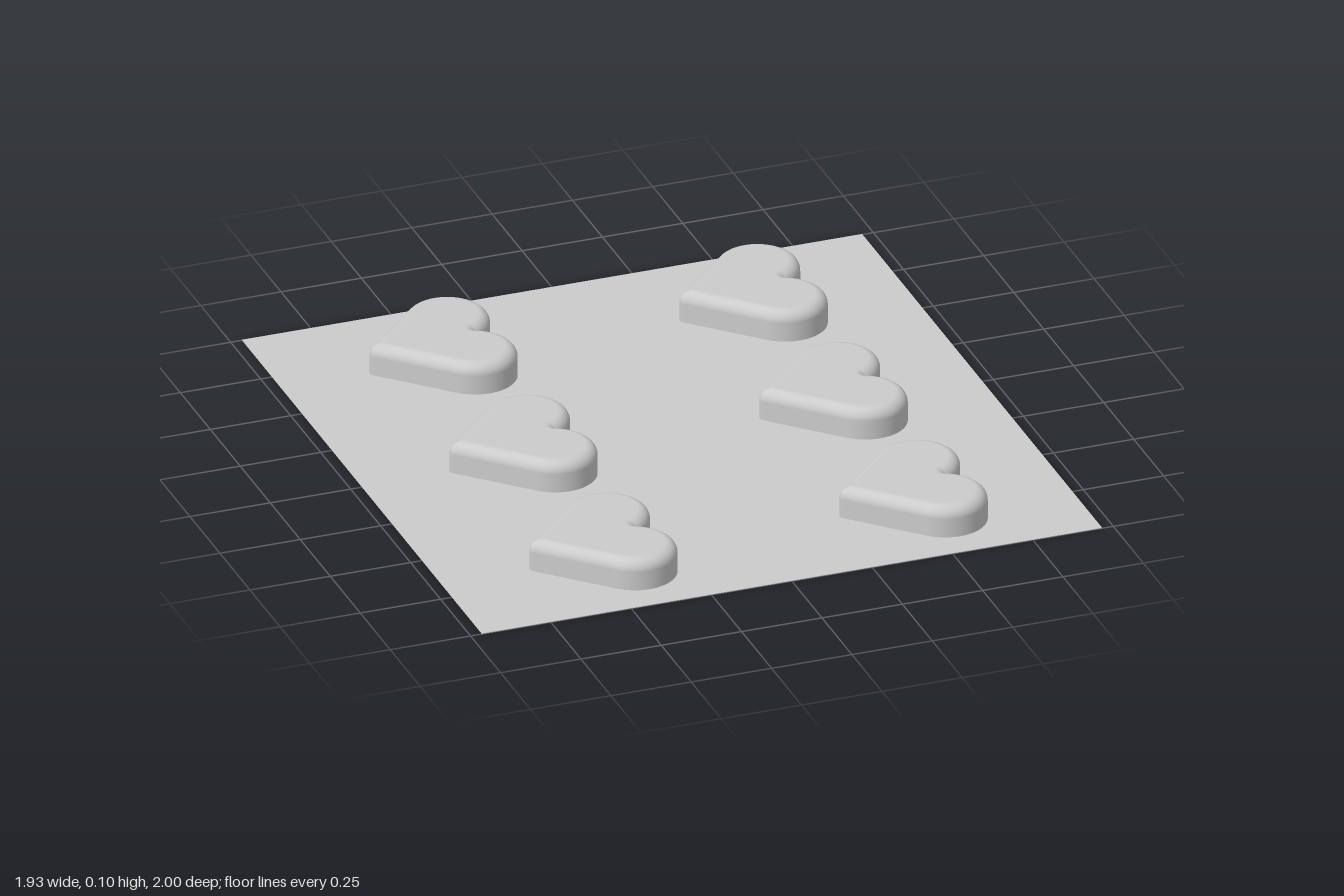
import * as THREE from 'three';

const R = 0.125, CX = 0.075, CZ = 0.115;      // lobe radius and centre, relative to the cell centre
const TIP_R = 0.02, FILLET = 0.036, HEIGHT = 0.097;
const SHEET = 0.002, CELL_X = 0.965, CELL_Z = 2 / 3;
const TIP_X = CX - R * Math.SQRT1_2 - (CZ + R * Math.SQRT1_2);

// Half outline from tip to notch: arcs of [centre x, centre z, radius, start angle, end angle, steps]
function halfOutline() {
  const end = -Math.asin(CZ / R);
  const notchX = CX + Math.sqrt(R * R - CZ * CZ);
  const arcs = [
    [TIP_X + TIP_R * Math.SQRT2, 0, TIP_R, Math.PI, Math.PI * 0.75, 5],
    [CX, CZ, R, Math.PI * 0.75, end, 32],
    [notchX, 0, 0, end, 0, 8],
  ];
  const points = [];
  arcs.forEach(([x, z, r, a0, a1, n], arc) => {
    for (let i = 0; i <= n; i++) {
      const a = a0 + (a1 - a0) * i / n;
      const nx = Math.cos(a), nz = Math.sin(a);
      points.push({ x: x + r * nx, z: z + r * nz, nx, nz, tip: arc === 0 });
    }
  });
  return points;
}

// Heart with straight walls, a rounded upper rim and a flat top
function heartGeometry() {
  const outline = halfOutline(), n = outline.length;
  const rings = [{ d: 0, y: 0, t: 0 }];
  for (let k = 0; k <= 8; k++) {
    const t = k / 8 * Math.PI / 2;
    rings.push({ d: FILLET * (1 - Math.cos(t)), y: HEIGHT - FILLET * (1 - Math.sin(t)), t });
  }
  const pos = [], nor = [], idx = [];
  for (const s of [1, -1]) {
    const base = pos.length / 3;
    const tri = (a, b, c) => (s > 0 ? idx.push(a, b, c) : idx.push(a, c, b));
    // Walls and rim, each ring inset along the outline normals
    for (const { d, y, t } of rings) {
      for (const p of outline) {
        const snap = p.tip && d > TIP_R;
        const x = snap ? TIP_X + d * Math.SQRT2 : p.x - d * p.nx;
        const z = snap ? 0 : p.z - d * p.nz;
        pos.push(x, y, s * z);
        nor.push(p.nx * Math.cos(t), Math.sin(t), s * p.nz * Math.cos(t));
      }
    }
    for (let j = 0; j < rings.length - 1; j++) {
      for (let i = 0; i < n - 1; i++) {
        const a = base + j * n + i, c = a + n;
        tri(a, a + 1, c);
        tri(a + 1, c + 1, c);
      }
    }
    // Flat top as a fan around the lobe
    const top = base + (rings.length - 1) * n, centre = pos.length / 3;
    pos.push(CX - 0.02, HEIGHT, s * CZ);
    nor.push(0, 1, 0);
    for (let i = 0; i < n; i++) tri(centre, top + i, top + (i + 1) % n);
  }
  const g = new THREE.BufferGeometry();
  g.setAttribute('position', new THREE.Float32BufferAttribute(pos, 3));
  g.setAttribute('normal', new THREE.Float32BufferAttribute(nor, 3));
  g.setIndex(idx);
  return g;
}

export function createModel() {
  const group = new THREE.Group();
  group.name = 'heartTray';
  const material = new THREE.MeshStandardMaterial({ color: 0xcccccc });

  // Thin base sheet
  const sheet = new THREE.Mesh(new THREE.BoxGeometry(CELL_X * 2, SHEET, CELL_Z * 3), material);
  sheet.name = 'baseSheet';
  sheet.position.y = SHEET / 2;
  group.add(sheet);

  // Two by three grid of hearts, tips toward -x
  const geometry = heartGeometry();
  for (let col = 0; col < 2; col++) {
    for (let row = 0; row < 3; row++) {
      const heart = new THREE.Mesh(geometry, material);
      heart.name = `heart${col * 3 + row + 1}`;
      heart.position.set((col - 0.5) * CELL_X, 0.0005, (row - 1) * CELL_Z);
      group.add(heart);
    }
  }
  return group;
}
